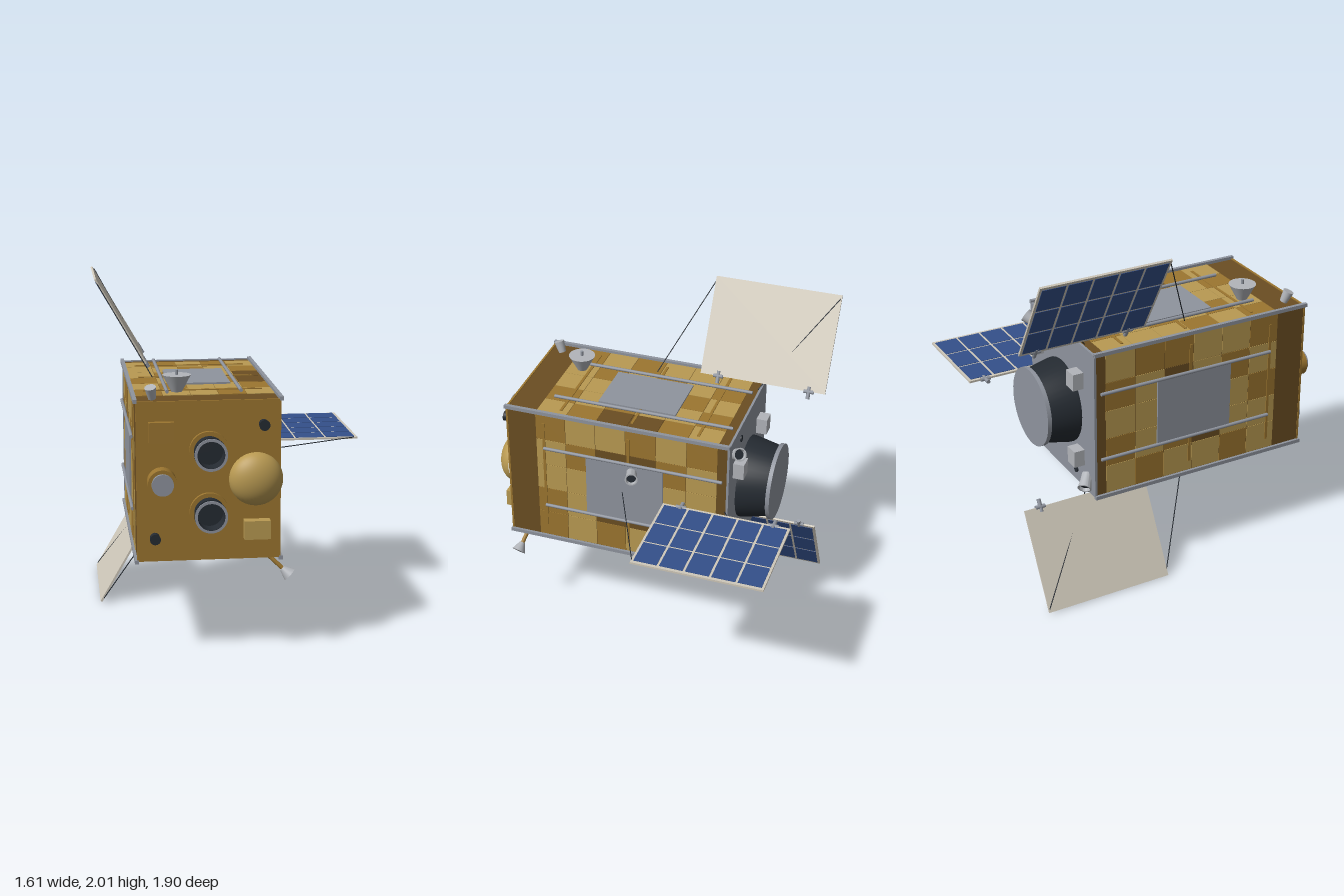
import * as THREE from 'three';
import { toCreasedNormals } from 'three/addons/utils/BufferGeometryUtils.js';

const mat = (name, color) => {
  const m = new THREE.MeshStandardMaterial({ color });
  m.name = name;
  return m;
};

export function createModel() {
  const model = new THREE.Group();
  model.name = 'satellite';

  const paleGold = mat('paleGold', 0xb99a52);
  const gold = mat('gold', 0x9c7630);
  const brown = mat('brown', 0x6b4e22);
  const charcoal = mat('charcoal', 0x252b32);
  const grey = mat('grey', 0x8f949e);
  const silver = mat('silver', 0xb2b5ba);
  const beige = mat('beige', 0xcfc8ba);
  const blue = mat('blue', 0x34508a);
  const foil = { L: paleGold, M: gold, D: brown };

  const V = (x, y, z) => new THREE.Vector3(x, y, z);
  const UP = V(0, 1, 0);
  const add = (parent, name, geo, material, x = 0, y = 0, z = 0) => {
    const m = new THREE.Mesh(geo, material);
    m.name = name;
    m.position.set(x, y, z);
    parent.add(m);
    return m;
  };
  const box = (parent, name, material, w, h, d, x, y, z) =>
    add(parent, name, new THREE.BoxGeometry(w, h, d), material, x, y, z);
  // Cylinder or cone running from point a to point b
  const rod = (parent, name, material, a, b, r0, r1 = r0, sides = 24) => {
    const m = add(parent, name, new THREE.CylinderGeometry(r1, r0, a.distanceTo(b), sides), material);
    m.position.copy(a).lerp(b, 0.5);
    m.quaternion.setFromUnitVectors(UP, b.clone().sub(a).normalize());
    return m;
  };
  // Turned shape whose axis points along dir
  const turned = (parent, name, material, profile, pos, dir) => {
    const lathe = new THREE.LatheGeometry(profile.map(p => new THREE.Vector2(...p)), 40);
    const m = add(parent, name, toCreasedNormals(lathe, 0.6), material, pos.x, pos.y, pos.z);
    m.quaternion.setFromUnitVectors(UP, dir.clone().normalize());
    return m;
  };

  // ---- Body: core, front skin, rear plate, edge rails
  const CX = -0.23, CY = 1;
  box(model, 'bodyCore', brown, 0.79, 0.885, 1.36, CX, CY, 0.13);
  box(model, 'frontSkin', gold, 0.795, 0.895, 0.012, CX, CY, 0.812);
  box(model, 'rearPlate', grey, 0.8, 0.9, 0.014, CX, CY, -0.556);
  for (const sx of [-1, 1]) for (const sy of [-1, 1])
    box(model, 'edgeRail', grey, 0.022, 0.022, 1.385, CX + sx * 0.4, CY + sy * 0.45, 0.13);

  // ---- Long faces: foil patchwork, straps, radiator and rods
  const patterns = {
    top: ['MLLML', 'LMLLM', 'MLLMD', 'LMLLD', 'LLMLM', 'LMLML'],
    right: ['MLLMM', 'LMLLL', 'LDLDM', 'MDMDL', 'LMLLL', 'MLLML'],
    bottom: ['LMLLM', 'MLLML', 'LLMLD', 'DMLLM', 'MLLML', 'LMMLL'],
    left: ['LLMLM', 'MLLML', 'LDMLL', 'LMLDM', 'MLLLM', 'LMLML'],
  };
  const longFace = (name, angle, halfHeight, width, straps) => {
    const face = new THREE.Group();
    face.name = name + 'Face';
    face.position.set(CX - Math.sin(angle) * halfHeight, CY + Math.cos(angle) * halfHeight, 0);
    face.rotation.z = angle;
    model.add(face);
    const tw = width / 5, td = 0.187;
    patterns[name].forEach((row, i) => [...row].forEach((c, j) =>
      box(face, 'foilTile', foil[c], tw - 0.003, 0.006, td - 0.003,
        (j - 2) * tw, -0.003, 0.63 - td * (i + 0.5))));
    for (const z of straps) box(face, 'strap', gold, width * 0.86, 0.006, 0.016, 0, 0.002, z);
    box(face, 'radiator', grey, width * 0.455, 0.012, 0.48, 0, 0.004, 0.074);
    for (const s of [-1, 1])
      rod(face, 'sideRod', grey, V(s * 0.207, 0.01, 0.58), V(s * 0.207, 0.01, -0.525), 0.01, 0.01, 12);
  };
  longFace('top', 0, 0.446, 0.78, [0.49, 0.05, -0.355]);
  longFace('right', -Math.PI / 2, 0.398, 0.875, [0.58, 0.05]);
  longFace('bottom', Math.PI, 0.446, 0.78, [0.49, 0.05, -0.355]);
  longFace('left', Math.PI / 2, 0.398, 0.875, [0.58, 0.05]);

  // ---- Three solar wings, hinged at the body and braced by thin struts
  const wing = (x, y, angle) => {
    const g = new THREE.Group();
    g.name = 'solarWing';
    g.position.set(x, y, 0);
    g.rotation.z = angle;
    model.add(g);
    const W = 0.59, D = 0.77, zc = -0.565;
    box(g, 'wingPanel', beige, W, 0.012, D, W / 2, 0, zc);
    for (let i = 0; i < 3; i++) for (let j = 0; j < 5; j++)
      box(g, 'solarCell', blue, 0.176, 0.004, 0.137,
        W / 2 + (i - 1) * 0.188, 0.0065, zc + (j - 2) * 0.151);
    for (const z of [-0.29, -0.85]) {
      rod(g, 'hinge', grey, V(0, 0, z - 0.03), V(0, 0, z + 0.03), 0.012, 0.012, 12);
      rod(g, 'hingeArm', grey, V(-0.045, 0, z), V(0.03, 0, z), 0.012, 0.012, 12);
    }
    rod(g, 'wingStrut', charcoal, V(-0.04, 0, 0.09), V(W - 0.02, 0.004, -0.185), 0.003, 0.003, 6);
    rod(g, 'wingStrut', charcoal, V(-0.04, 0, -0.545), V(W - 0.02, -0.008, -0.945), 0.003, 0.003, 6);
  };
  wing(0.21, 1, 0);
  wing(-0.505, 1.489, Math.PI * 2 / 3);
  wing(-0.505, 0.511, Math.PI * 4 / 3);

  // ---- Front instruments
  const FZ = V(0, 0, 1);
  for (const y of [1.172, 0.828]) {
    rod(model, 'cameraCollar', gold, V(CX, y, 0.81), V(CX, y, 0.842), 0.108, 0.108, 40);
    turned(model, 'cameraBarrel', charcoal,
      [[0.084, 0], [0.084, 0.125], [0.074, 0.125], [0.074, 0.03], [0, 0.03]], V(CX, y, 0.82), FZ);
    for (const z of [0.91, 0.94])
      turned(model, 'cameraRing', z > 0.92 ? grey : charcoal,
        [[0.075, 0], [0.09, 0], [0.09, 0.009], [0.075, 0.009]], V(CX, y, z), FZ);
  }
  rod(model, 'sensorBase', gold, V(-0.49, 1.005, 0.81), V(-0.49, 1.005, 0.9), 0.08, 0.08, 40);
  rod(model, 'sensorLens', grey, V(-0.49, 1.005, 0.9), V(-0.49, 1.005, 0.92), 0.06, 0.06, 40);

  const dome = add(model, 'dome', new THREE.SphereGeometry(0.15, 40, 16, 0, Math.PI * 2, 0, Math.PI / 2),
    paleGold, 0.03, 1.005, 0.816);
  dome.rotation.x = Math.PI / 2;
  dome.scale.y = 0.63;

  box(model, 'frontBox', gold, 0.14, 0.115, 0.04, -0.49, 1.28, 0.835);
  box(model, 'frontBox', paleGold, 0.145, 0.105, 0.06, 0.032, 0.727, 0.847);
  for (const [x, y] of [[0.07, 1.313], [-0.53, 0.69]])
    rod(model, 'frontSensor', charcoal, V(x, y, 0.815), V(x, y, 0.872), 0.026, 0.03);

  // ---- Small nozzles and antennas
  const nozzle = (name, pos, dir, r, len) => {
    turned(model, name, silver, [[0, 0], [r * 0.8, 0], [r * 0.85, len * 0.6], [r, len],
      [r * 0.8, len], [r * 0.7, len * 0.75]], pos, dir);
    const n = dir.clone().normalize();
    rod(model, name + 'Bore', charcoal, pos.clone().addScaledVector(n, len * 0.6),
      pos.clone().addScaledVector(n, len * 0.8), r * 0.72);
  };
  nozzle('sideNozzle', V(0.165, 1.152, 0.03), V(0.095, 0.012, -0.03), 0.038, 0.1);
  nozzle('rearUpperNozzle', V(0.07, 1.345, -0.56), V(0.07, 0.055, -0.06), 0.04, 0.095);
  nozzle('rearLowerNozzle', V(-0.53, 0.655, -0.56), V(-0.07, -0.055, -0.06), 0.04, 0.095);

  rod(model, 'topThruster', silver, V(-0.53, 1.45, 0.73), V(-0.542, 1.515, 0.755), 0.022, 0.032);
  rod(model, 'topDish', silver, V(-0.38, 1.45, 0.54), V(-0.38, 1.545, 0.54), 0.03, 0.08, 40);
  rod(model, 'topDishFeed', grey, V(-0.38, 1.54, 0.54), V(-0.38, 1.573, 0.54), 0.009);

  rod(model, 'boom', gold, V(0.08, 0.57, 0.72), V(0.195, 0.462, 0.75), 0.012);
  rod(model, 'boomHorn', silver, V(0.188, 0.468, 0.75), V(0.23, 0.43, 0.76), 0.016, 0.042);

  // ---- Rear: main engine, equipment boxes and ports
  turned(model, 'engineBell', charcoal, [[0.25, 0], [0.25, 0.02], [0.215, 0.185]], V(CX, CY, -0.56), V(0, 0, -1));
  rod(model, 'engineFlange', grey, V(CX, CY, -0.742), V(CX, CY, -0.766), 0.232, 0.232, 48);
  for (const x of [0.045, -0.46]) for (const y of [1.24, 0.75])
    box(model, 'rearBox', silver, 0.085, 0.1, 0.07, x, y, -0.593);
  for (const [x, y] of [[-0.06, 1.375], [-0.4, 0.625]])
    rod(model, 'rearPort', charcoal, V(x, y, -0.555), V(x, y, -0.572), 0.02);

  return model;
}
